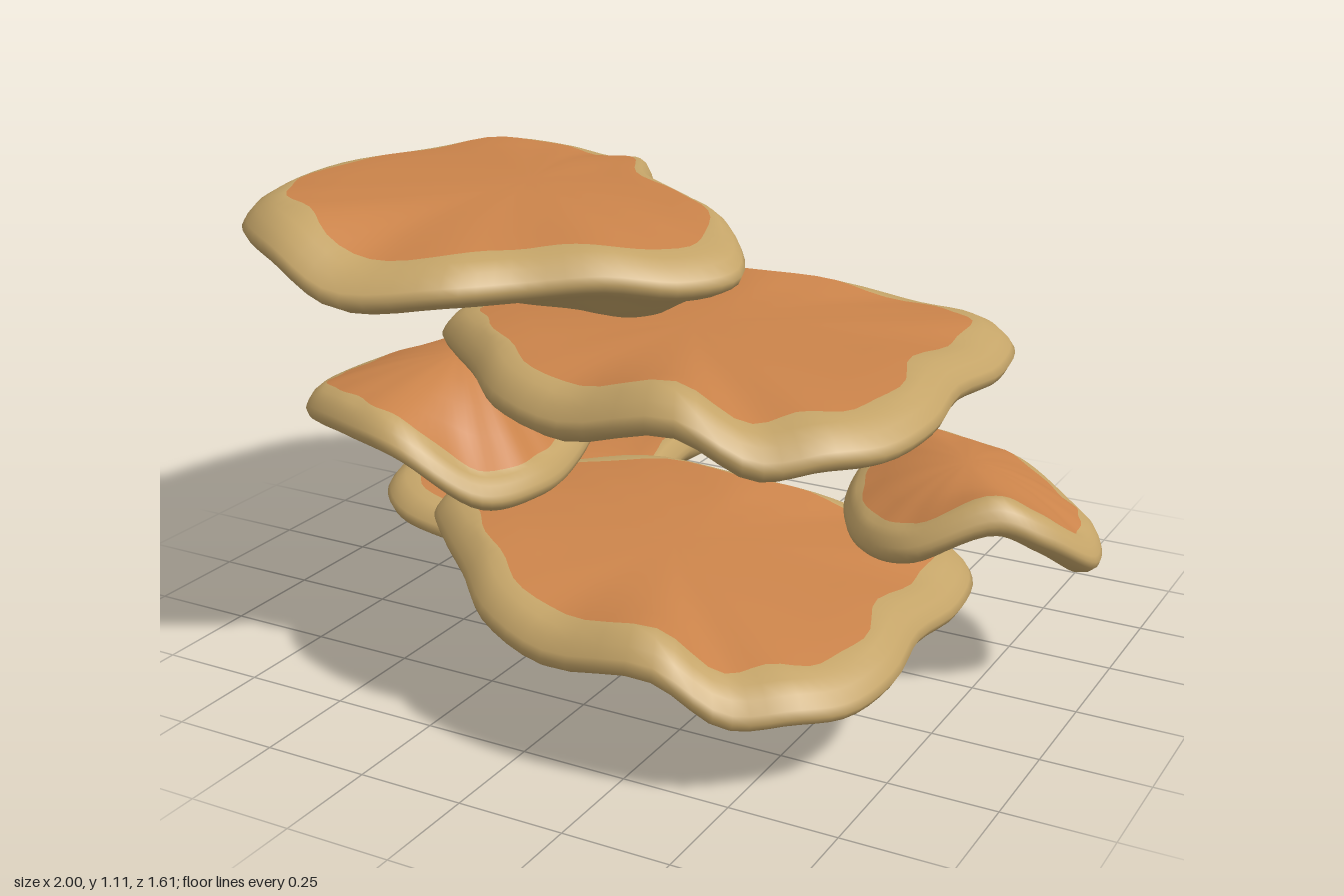
import * as THREE from 'three';

const capMat = new THREE.MeshStandardMaterial({ color: 0xca834a });
capMat.name = 'orangeCap';
const rimMat = new THREE.MeshStandardMaterial({ color: 0xc4a468 });
rimMat.name = 'tanRim';

const SIDES = 80;
// Rim section: share of the radius, height in rim half-thicknesses.
const RIM = [[0.84, 1.18], [0.9, 1.02], [0.95, 0.7], [0.985, 0.25], [1, -0.05], [0.985, -0.4], [0.94, -0.68], [0.86, -0.88]];

// A wavy slab lofted from its crown over the rim to its underside.
// outline: flat list of x, z, y around the rim, clockwise from above.
// lowY: underside height at the centre; bulges: [x, z, depth, width] swellings below.
function shelf(name, outline, crown, lowY, half, bulges = []) {
  const knots = [];
  for (let i = 0; i < outline.length; i += 3) knots.push(new THREE.Vector3(outline[i], outline[i + 2], outline[i + 1]));
  const edge = new THREE.CatmullRomCurve3(knots, true).getPoints(SIDES).slice(0, SIDES);
  // rim heights averaged over neighbours, so waves fade towards the crown
  const soft = edge.map((_, i) => {
    let sum = 0;
    for (let k = -8; k <= 8; k++) sum += edge[(i + k + SIDES) % SIDES].y;
    return sum / 17;
  });
  const top = new THREE.Vector3(...crown);
  const at = (p, [s, h], i) => {
    const wob = s === RIM[0][0] ? 0.012 * Math.sin(i * 1.1) + 0.012 * Math.sin(i * 0.47) : 0;
    const q = new THREE.Vector3().lerpVectors(top, p, s + wob);
    q.y = p.y + h * half;
    return q;
  };
  const under = (p, t, i) => {
    const rim = at(p, RIM[RIM.length - 1], i);
    const q = new THREE.Vector3().lerpVectors(rim, top, t);
    q.y = THREE.MathUtils.lerp(rim.y, lowY, 1 - (1 - t) ** 2);
    const fade = THREE.MathUtils.smoothstep(t, -0.1, 0.3);
    for (const [x, z, depth, w] of bulges) q.y -= fade * depth * Math.exp(-((q.x - x) ** 2 + (q.z - z) ** 2) / (w * w));
    return q;
  };

  const rings = [];
  // cap surface
  for (const t of [0.2, 0.4, 0.6, 0.8]) {
    rings.push(edge.map((p, i) => {
      const q = new THREE.Vector3().lerpVectors(top, at(p, RIM[0], i), t);
      const rimY = THREE.MathUtils.lerp(soft[i], p.y, t * t) + RIM[0][1] * half;
      q.y = THREE.MathUtils.lerp(top.y, rimY, t * t * (1.4 - 0.4 * t));
      return q;
    }));
  }
  const capRings = rings.length;
  // rim
  for (const r of RIM) rings.push(edge.map((p, i) => at(p, r, i)));
  // underside
  for (const t of [0.12, 0.25, 0.4, 0.55, 0.7, 0.85]) rings.push(edge.map((p, i) => under(p, t, i)));
  const low = under(edge[0], 1, 0);

  const pos = [], idx = [];
  [...rings.flat(), top, low].forEach(v => pos.push(v.x, v.y, v.z));
  const topI = rings.length * SIDES, lowI = topI + 1, last = (rings.length - 1) * SIDES;
  for (let i = 0; i < SIDES; i++) idx.push(topI, (i + 1) % SIDES, i);
  for (let r = 0; r < rings.length - 1; r++) {
    for (let i = 0; i < SIDES; i++) {
      const j = (i + 1) % SIDES;
      const a = r * SIDES + i, b = r * SIDES + j, c = a + SIDES, d = b + SIDES;
      idx.push(a, b, c, b, d, c);
    }
  }
  for (let i = 0; i < SIDES; i++) idx.push(last + i, last + (i + 1) % SIDES, lowI);

  const split = SIDES * (3 + 6 * capRings);
  const geo = new THREE.BufferGeometry();
  geo.setAttribute('position', new THREE.Float32BufferAttribute(pos, 3));
  geo.setIndex(idx);
  geo.addGroup(0, split, 0);
  geo.addGroup(split, idx.length - split, 1);
  geo.computeVertexNormals();
  const mesh = new THREE.Mesh(geo, [capMat, rimMat]);
  mesh.name = name;
  return mesh;
}

export function createModel() {
  const group = new THREE.Group();
  group.name = 'shelfStack';

  // top slab, tail towards the back
  group.add(shelf('topShelf', [
    -0.57, -0.65, 0.95, -0.42, -0.56, 0.975, -0.22, -0.25, 1.005, 0, -0.08, 1.005,
    0.15, 0.04, 1.0, 0.24, 0.2, 0.965, 0.18, 0.35, 0.965, 0.05, 0.47, 0.99,
    -0.1, 0.57, 0.98, -0.22, 0.69, 0.98, -0.45, 0.77, 0.965, -0.63, 0.74, 1.035,
    -0.8, 0.62, 1.045, -0.93, 0.4, 1.03, -1, 0.05, 1.015, -0.95, -0.25, 1.0,
    -0.84, -0.5, 1.0, -0.7, -0.63, 0.97],
  [-0.4, 1.085, 0.05], 0.945, 0.055, [[-0.12, 0.1, 0.115, 0.33], [-0.84, 0.2, 0.075, 0.17]]));

  // large slab, tail towards the right-hand side
  const upper = shelf('upperBroadShelf', [
    -0.56, 0.12, 0.74, -0.54, -0.03, 0.725, -0.41, -0.16, 0.745, -0.2, -0.25, 0.785,
    0.1, -0.24, 0.81, 0.3, -0.31, 0.79, 0.5, -0.355, 0.755, 0.65, -0.33, 0.755,
    0.73, -0.23, 0.755, 0.755, -0.08, 0.745, 0.745, 0.15, 0.765, 0.77, 0.35, 0.755,
    0.74, 0.52, 0.745, 0.66, 0.63, 0.75, 0.54, 0.71, 0.735, 0.37, 0.76, 0.815,
    0.1, 0.75, 0.76, -0.1, 0.68, 0.77, -0.25, 0.54, 0.78, -0.4, 0.4, 0.77,
    -0.52, 0.26, 0.75],
  [0.12, 0.845, 0.2], 0.71, 0.055, [[0.46, 0.04, 0.145, 0.36]]);
  group.add(upper);

  // the same form repeated lower down, leaning to the left-hand side
  const lower = upper.clone();
  lower.name = 'lowerBroadShelf';
  lower.scale.setScalar(0.97);
  lower.rotation.z = -0.1;
  lower.position.set(-0.095, -0.465, 0.065);
  group.add(lower);

  // small drooping slab between the large ones
  group.add(shelf('smallRightShelf', [
    -0.22, 0.3, 0.42, -0.28, 0.48, 0.435, -0.45, 0.575, 0.56, -0.63, 0.54, 0.58,
    -0.8, 0.44, 0.565, -0.86, 0.25, 0.55, -0.8, 0.02, 0.56, -0.6, -0.16, 0.59,
    -0.38, -0.2, 0.55, -0.29, -0.07, 0.475, -0.24, 0.12, 0.425],
  [-0.53, 0.67, 0.18], 0.545, 0.045));

  // small arched slab on the other side
  group.add(shelf('smallLeftShelf', [
    0.34, -0.3, 0.375, 0.42, -0.42, 0.415, 0.55, -0.48, 0.385, 0.7, -0.44, 0.375,
    0.88, -0.32, 0.335, 0.97, -0.2, 0.335, 1, -0.08, 0.335, 0.93, 0.05, 0.415,
    0.83, 0.12, 0.46, 0.65, 0.19, 0.385, 0.5, 0.11, 0.355, 0.37, -0.1, 0.355],
  [0.66, 0.49, -0.15], 0.375, 0.045));

  // lowest slab, at the back
  group.add(shelf('bottomShelf', [
    -0.94, -0.05, 0.17, -0.96, -0.25, 0.185, -0.88, -0.45, 0.19, -0.78, -0.62, 0.2,
    -0.62, -0.74, 0.19, -0.43, -0.805, 0.17, -0.345, -0.77, 0.17, -0.33, -0.62, 0.19,
    -0.29, -0.42, 0.19, -0.22, -0.26, 0.15, -0.17, -0.12, 0.11, -0.22, 0.01, 0.085,
    -0.42, 0.05, 0.075, -0.62, 0.05, 0.105, -0.84, 0.04, 0.14],
  [-0.55, 0.245, -0.35], 0.13, 0.044, [[-0.45, -0.1, 0.085, 0.26]]));

  return group;
}
